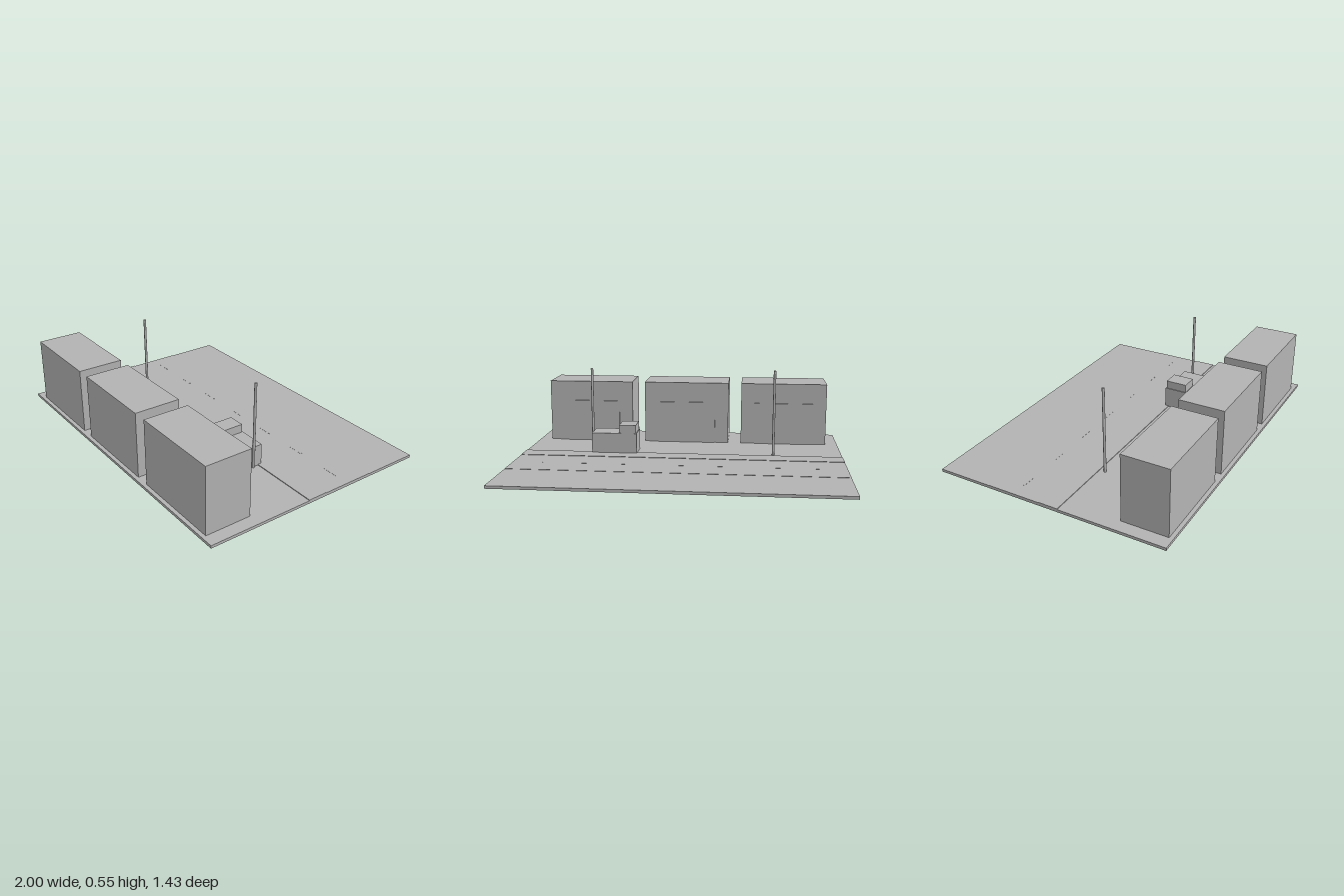
import * as THREE from 'three';

export function createModel() {
  const model = new THREE.Group();
  model.name = 'streetBlock';
  const grey = new THREE.MeshStandardMaterial({ color: 0xb3b3b3 });
  grey.name = 'plain grey';

  // Box given by its extents on each axis
  function box(name, [x0, x1], [y0, y1], [z0, z1], parent = model) {
    const mesh = new THREE.Mesh(new THREE.BoxGeometry(x1 - x0, y1 - y0, z1 - z0), grey);
    mesh.position.set((x0 + x1) / 2, (y0 + y1) / 2, (z0 + z1) / 2);
    mesh.name = name;
    parent.add(mesh);
    return mesh;
  }

  const ground = 0.017;
  box('ground', [-1, 1], [0, ground], [-0.714, 0.714]);

  // Road with its dashed centre line, and the raised pavement beside it
  box('road', [-1, 1], [ground, 0.0188], [-0.373, -0.045]);
  box('pavement', [-1, 1], [ground, 0.0215], [-0.045, 0.073]);
  for (let i = -3; i <= 3; i++) {
    const x = i * 0.287;
    box('laneDash', [x - 0.047, x + 0.047], [0.0188, 0.0196], [-0.213, -0.204]);
  }

  // Three garages with wide doors facing the road
  for (const x of [-0.643, 0, 0.643]) {
    const garage = new THREE.Group();
    garage.name = 'garage';
    box('walls', [x - 0.279, x + 0.279], [ground, 0.419], [0.412, 0.69], garage);
    box('door', [x - 0.19, x + 0.19], [ground, 0.289], [0.403, 0.412], garage);
    model.add(garage);
  }

  // Parked van: body with a smaller cab on one end
  const van = new THREE.Group();
  van.name = 'van';
  box('body', [0.284, 0.568], [ground, 0.147], [0.05, 0.197], van);
  box('cab', [0.289, 0.394], [0.147, 0.198], [0.056, 0.19], van);
  model.add(van);

  // Lamp posts
  for (const x of [-0.573, 0.57]) {
    const post = new THREE.Mesh(new THREE.CylinderGeometry(0.008, 0.008, 0.549 - ground, 12), grey);
    post.position.set(x, (0.549 + ground) / 2, 0.108);
    post.name = 'lampPost';
    model.add(post);
  }

  return model;
}
